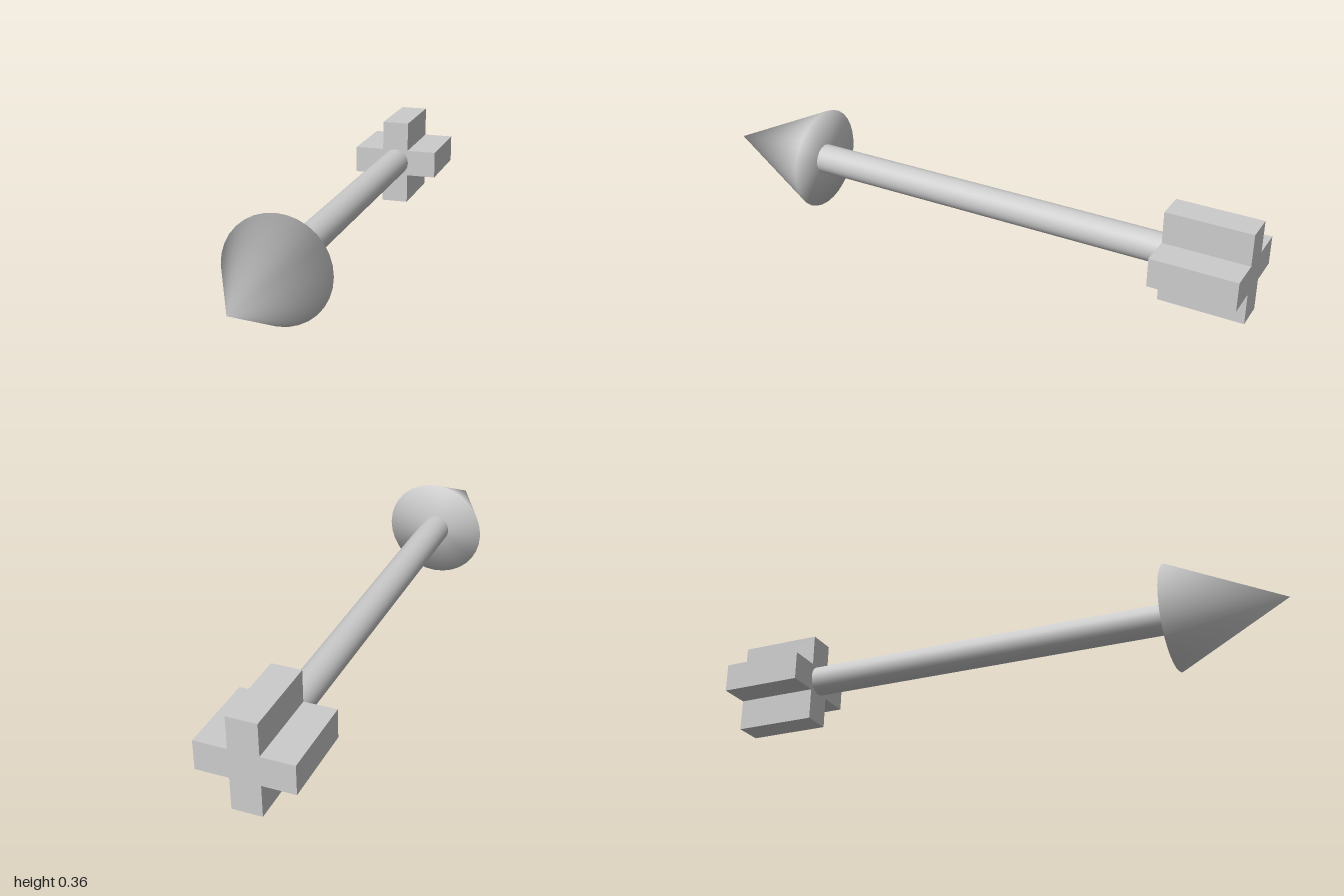
import * as THREE from 'three';

const AXIS_Y = 0.18;
const material = new THREE.MeshStandardMaterial({ color: 0xcccccc });

// Puts a geometry on the arrow's axis as a named mesh.
function addPart(group, name, geometry, z) {
  const mesh = new THREE.Mesh(geometry, material);
  mesh.name = name;
  mesh.position.set(0, AXIS_Y, z);
  group.add(mesh);
}

// Cone shaded smoothly right across its rim: normals blend from tip to rim to base centre.
function smoothCone(radius, height, segments) {
  const geometry = new THREE.ConeGeometry(radius, height, segments);
  const { position, normal } = geometry.attributes;
  const p = new THREE.Vector3();
  const slant = Math.hypot(radius, height);
  for (let i = 0; i < position.count; i++) {
    p.fromBufferAttribute(position, i);
    const y = p.y;
    p.y = 0;
    if (p.length() < 1e-4) {
      p.set(0, Math.sign(y), 0);
    } else {
      // side normal plus base normal
      p.setLength(height / slant);
      p.y = radius / slant - 1;
      p.normalize();
    }
    normal.setXYZ(i, p.x, p.y, p.z);
  }
  return geometry.rotateX(Math.PI / 2);
}

// Plus-shaped outline, one arm per quarter turn.
function crossShape(reach, half) {
  const points = [];
  for (let i = 0; i < 4; i++) {
    const origin = new THREE.Vector2();
    for (const [x, y] of [[reach, -half], [reach, half], [half, half]]) {
      points.push(new THREE.Vector2(x, y).rotateAround(origin, i * Math.PI / 2));
    }
  }
  return new THREE.Shape(points);
}

export function createModel() {
  const group = new THREE.Group();
  group.name = 'arrow';

  // Pointed head at the front
  addPart(group, 'arrowHead', smoothCone(0.18, 0.38, 32), 0.81);

  // Round shaft, its ends sunk slightly into head and fins
  const shaft = new THREE.CylinderGeometry(0.052, 0.052, 1.36, 32).rotateX(Math.PI / 2);
  addPart(group, 'shaft', shaft, -0.05);

  // Four thick fins at the back
  const fins = new THREE.ExtrudeGeometry(crossShape(0.16, 0.05), { depth: 0.29, bevelEnabled: false });
  addPart(group, 'tailFins', fins, -1);

  return group;
}
